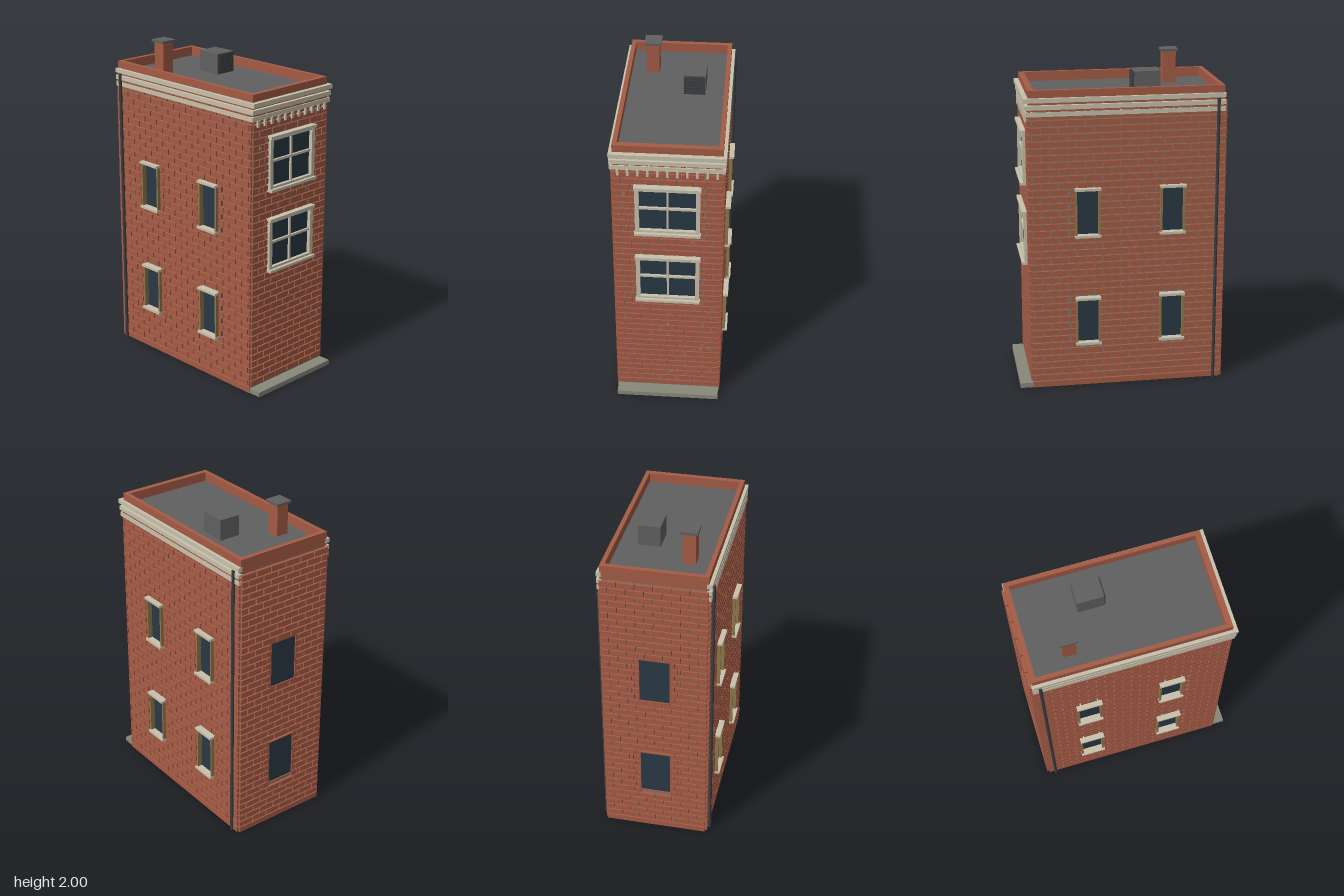
import * as THREE from 'three';
import { mergeGeometries } from 'three/addons/utils/BufferGeometryUtils.js';

const mat = (name, color) => {
  const m = new THREE.MeshStandardMaterial({ color });
  m.name = name;
  return m;
};

// box geometry from its limits
function span(x0, x1, y0, y1, z0, z1) {
  const g = new THREE.BoxGeometry(Math.abs(x1 - x0), y1 - y0, Math.abs(z1 - z0));
  return g.translate((x0 + x1) / 2, (y0 + y1) / 2, (z0 + z1) / 2);
}

export function createModel() {
  const brick = mat('brick', 0xa45b45);
  const mortar = mat('mortar', 0x80786d);
  const stone = mat('trimStone', 0xc8c1ac);
  const stepStone = mat('stepStone', 0x88887a);
  const roofing = mat('roofing', 0x606060);
  const metal = mat('darkMetal', 0x3a3e41);
  const glass = mat('glass', 0x293844);
  const wood = mat('windowWood', 0x8f774b);

  const model = new THREE.Group();
  model.name = 'townhouse';
  const add = (name, material, ...geos) => {
    const mesh = new THREE.Mesh(geos.length > 1 ? mergeGeometries(geos) : geos[0], material);
    mesh.name = name;
    model.add(mesh);
  };

  // Core behind the bricks
  add('wallCore', mortar, span(-0.308, 0.308, 0, 1.785, -0.612, 0.55));
  add('baseCourse', brick,
    span(-0.322, -0.304, 0.001, 0.036, -0.615, 0.55), span(0.304, 0.322, 0.001, 0.036, -0.615, 0.55),
    span(-0.31, 0.31, 0.001, 0.036, -0.63, -0.608));

  // Running-bond brickwork; openings are [u0, u1, y0, y1]; box(u0, u1, y0, y1) places one brick
  const PITCH = 0.042, GAP = 0.008, LENGTH = 0.105, QUOIN = 0.03;
  function brickWall(name, u0, u1, openings, box) {
    const bricks = [];
    const put = (a, b, y) => { if (b - a > 0.008) bricks.push(box(a, b, y, y + PITCH - GAP)); };
    for (let row = 0; row < 41; row++) {
      const y = 0.044 + row * PITCH;
      let runs = [[u0, u1]];
      for (const [a, b, y0, y1] of openings) {
        if (y + PITCH - GAP <= y0 || y >= y1) continue;
        const q = QUOIN + (row % 2) * 0.015;
        runs = runs.flatMap(([s, e]) => (a > s && b < e ? [[s, a - q], [b + q, e]] : [[s, e]]));
        put(a - q + 0.004, a, y);
        put(b, b + q - 0.004, y);
      }
      for (const [s, e] of runs) {
        for (let u = u0 - (row % 2) * LENGTH / 2; u < u1; u += LENGTH) {
          put(Math.max(u, s), Math.min(u + LENGTH - GAP, e), y);
        }
      }
    }
    add(name, brick, ...bricks);
  }

  const storeys = [[0.28, 0.57], [0.965, 1.255]];
  const sideZ = [0.21, -0.305];
  const frontStoreys = [[0.755, 1.09], [1.255, 1.59]];

  brickWall('frontBricks', -0.31, 0.31, frontStoreys.map(([a, b]) => [-0.18, 0.18, a, b]),
    (a, b, y0, y1) => span(a, b, y0, y1, 0.545, 0.561));
  brickWall('backBricks', -0.31, 0.31, storeys.map(([a, b]) => [-0.092, 0.092, a, b]),
    (a, b, y0, y1) => span(a, b, y0, y1, -0.63, -0.605));
  const sideOpenings = storeys.flatMap(([a, b]) => sideZ.map(z => [z - 0.075, z + 0.075, a, b]));
  for (const s of [-1, 1]) {
    brickWall(s > 0 ? 'leftBricks' : 'rightBricks', -0.615, 0.55, sideOpenings,
      (a, b, y0, y1) => span(s * 0.303, s * 0.322, y0, y1, a, b));
  }

  // Front windows: stone surround, mullion and crossbar
  for (const [y0, y1] of frontStoreys) {
    const mid = (y0 + y1) / 2 + 0.013;
    add('frontGlass', glass, span(-0.17, 0.17, y0 + 0.01, y1 - 0.01, 0.547, 0.555));
    add('frontWindowFrame', stone,
      span(-0.187, -0.163, y0, y1, 0.545, 0.578), span(0.163, 0.187, y0, y1, 0.545, 0.578),
      span(-0.187, 0.187, y0 + 0.01, y0 + 0.03, 0.545, 0.577),
      span(-0.187, 0.187, y1 - 0.03, y1 - 0.01, 0.545, 0.577),
      span(-0.192, 0.192, y0, y0 + 0.016, 0.545, 0.595),
      span(-0.192, 0.192, y1 - 0.016, y1, 0.545, 0.59),
      span(-0.006, 0.006, y0, y1, 0.545, 0.567),
      span(-0.165, 0.165, mid - 0.007, mid + 0.007, 0.545, 0.569));
  }

  // Side windows: wooden jambs, stone lintel and sill
  for (const s of [-1, 1]) for (const z of sideZ) for (const [y0, y1] of storeys) {
    add('sideGlass', glass, span(s * 0.304, s * 0.311, y0, y1, z - 0.072, z + 0.072));
    add('sideJambs', wood,
      span(s * 0.304, s * 0.341, y0, y1, z - 0.076, z - 0.064),
      span(s * 0.304, s * 0.341, y0, y1, z + 0.064, z + 0.076));
    add('sideLintelAndSill', stone,
      span(s * 0.304, s * 0.353, y0 - 0.007, y0 + 0.008, z - 0.078, z + 0.078),
      span(s * 0.304, s * 0.353, y1 - 0.008, y1 + 0.007, z - 0.078, z + 0.078));
  }

  // Back windows with brick reveals
  for (const [y0, y1] of storeys) {
    add('backGlass', glass, span(-0.09, 0.09, y0, y1, -0.622, -0.615));
    add('backReveal', brick,
      span(-0.097, -0.09, y0, y1, -0.63, -0.61), span(0.09, 0.097, y0, y1, -0.63, -0.61),
      span(-0.097, 0.097, y0 - 0.007, y0, -0.63, -0.61), span(-0.097, 0.097, y1, y1 + 0.007, -0.63, -0.61));
  }

  // Cornice bands around the front and sides, with dentils below
  for (const [y0, y1, x, z] of [[1.78, 1.806, 0.33, 0.58], [1.738, 1.764, 0.328, 0.572], [1.698, 1.725, 0.326, 0.568]]) {
    add('corniceBand', stone, span(-x, x, y0, y1, 0.54, z),
      span(-x, -0.3, y0, y1, -0.618, 0.54), span(0.3, x, y0, y1, -0.618, 0.54));
  }
  const dentils = [];
  for (let i = -5; i <= 5; i++) {
    dentils.push(span(i * 0.056 - 0.007, i * 0.056 + 0.007, 1.66, 1.702, 0.545, 0.572));
  }
  add('dentils', stone, ...dentils);

  // Small worn chips on the front bricks
  const chips = [[-0.25, 1.53], [0.14, 1.2], [0, 0.55], [0.2, 0.36], [0.25, 0.37], [0.02, 0.16], [-0.11, 0.42]];
  add('brickChips', stepStone, ...chips.map(([x, y]) => span(x - 0.007, x + 0.007, y - 0.007, y + 0.007, 0.557, 0.563)));

  // Parapet and roof deck
  add('parapet', brick,
    span(-0.31, 0.31, 1.765, 1.85, 0.518, 0.552), span(-0.31, 0.31, 1.765, 1.85, -0.614, -0.585),
    span(-0.31, -0.284, 1.765, 1.85, -0.585, 0.518), span(0.284, 0.31, 1.765, 1.85, -0.585, 0.518));
  add('roofDeck', roofing, span(-0.285, 0.285, 1.78, 1.793, -0.586, 0.52));

  // Chimney
  add('chimney', brick, span(-0.194, -0.117, 1.79, 1.987, -0.403, -0.323));
  add('chimneyCap', roofing, span(-0.206, -0.104, 1.985, 2, -0.415, -0.311));

  // Roof vent with a dark louvred front
  add('roofVent', roofing, span(0.042, 0.175, 1.79, 1.92, -0.252, -0.094));
  add('ventOpening', metal, span(0.046, 0.171, 1.796, 1.914, -0.096, -0.09));
  const louvres = [];
  for (let i = 0; i < 7; i++) louvres.push(span(0.048, 0.169, 1.803 + i * 0.016, 1.811 + i * 0.016, -0.094, -0.085));
  add('ventLouvres', metal, ...louvres);

  // Downpipes near the back corners
  for (const s of [-1, 1]) {
    const pipe = new THREE.CylinderGeometry(0.01, 0.01, 1.78, 8).translate(s * 0.331, 0.89, -0.573);
    add('downpipe', metal, pipe);
  }

  // Front step
  add('frontStep', stepStone, span(-0.315, 0.315, 0, 0.03, 0.54, 0.63));

  return model;
}
